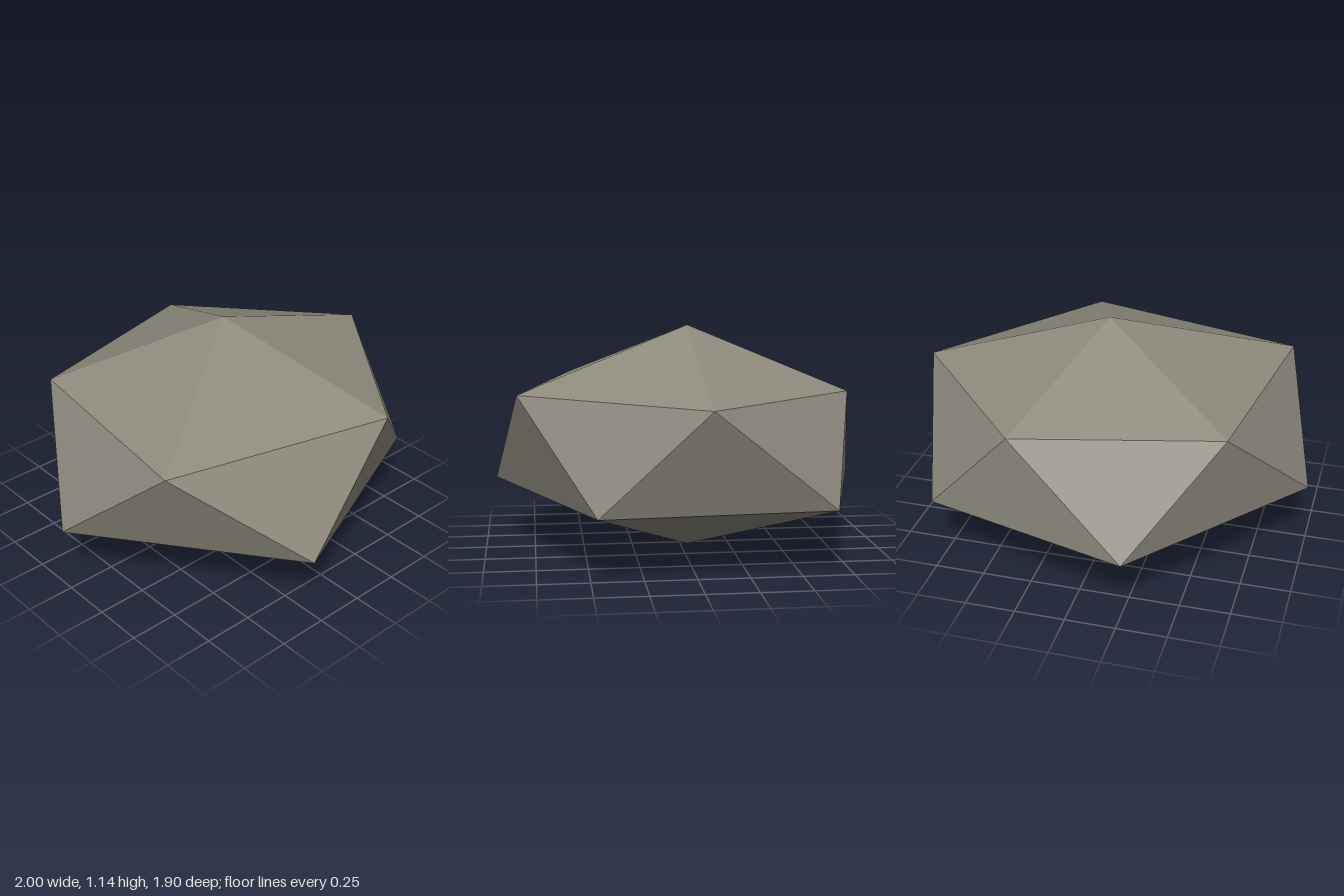
import * as THREE from 'three';

export function createModel() {
  const group = new THREE.Group();
  group.name = 'boulder';
  const stone = new THREE.MeshStandardMaterial({ color: 0x8e8a7d });
  stone.name = 'warm grey stone';

  // Two staggered rings of five corners, capped by a peak and a base point
  const ring = (y, points) => points.map(([x, z]) => [x, y, z]);
  const upper = ring(0.826, [[1, -0.04], [0.33, 0.83], [-0.81, 0.53], [-0.665, -0.555], [0.33, -0.8]]);
  const lower = ring(0.32, [[0.86, 0.47], [-0.26, 0.947], [-1, -0.04], [-0.26, -0.95], [0.79, -0.66]]);
  const peak = [0.04, 1.14, -0.035];
  const base = [0.04, 0, -0.035];

  // Each fifth has a top facet, two side facets and a bottom facet
  const corners = [];
  for (let i = 0; i < 5; i++) {
    const j = (i + 1) % 5;
    corners.push(peak, upper[j], upper[i]);
    corners.push(upper[j], lower[i], upper[i]);
    corners.push(lower[i], upper[j], lower[j]);
    corners.push(lower[i], lower[j], base);
  }

  // Unshared corners give flat facets
  const geometry = new THREE.BufferGeometry();
  geometry.setAttribute('position', new THREE.Float32BufferAttribute(corners.flat(), 3));
  geometry.computeVertexNormals();

  const rock = new THREE.Mesh(geometry, stone);
  rock.name = 'rock';
  group.add(rock);
  return group;
}
